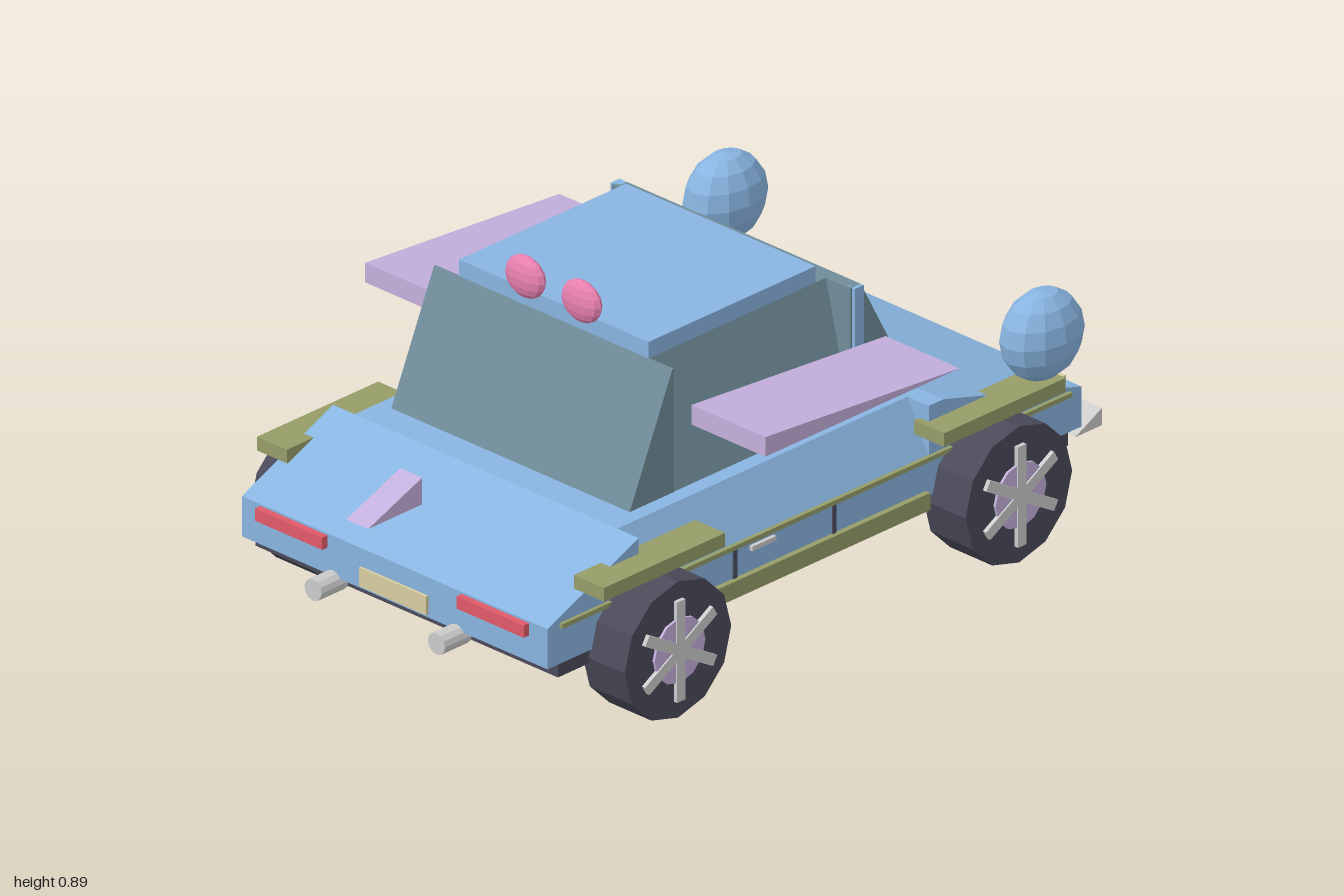
import * as THREE from 'three';

const material = (color) => new THREE.MeshStandardMaterial({ color, flatShading: true });
const BLUE = material(0x88b4e0), GLASS = material(0x708c99), OLIVE = material(0x959d68);
const DARK = material(0x4a4a5a), PURPLE = material(0xc4afdc), PINK = material(0xe880b0);
const RED = material(0xe05a68), CREAM = material(0xd8cda0), GREY = material(0xcccccc);

export function createModel() {
  const car = new THREE.Group();
  car.name = 'car';

  const add = (name, geometry, mat, parent = car) => {
    const mesh = new THREE.Mesh(geometry, mat);
    mesh.name = name;
    parent.add(mesh);
    return mesh;
  };
  // Box given by its limits on each axis
  const box = (name, mat, [x0, x1], [y0, y1], [z0, z1]) => {
    const g = new THREE.BoxGeometry(x1 - x0, y1 - y0, z1 - z0);
    g.translate((x0 + x1) / 2, (y0 + y1) / 2, (z0 + z1) / 2);
    return add(name, g, mat);
  };
  const extrude = (points, depth) => new THREE.ExtrudeGeometry(
    new THREE.Shape(points.map(([a, b]) => new THREE.Vector2(a, b))),
    { depth, bevelEnabled: false });
  // Side profile of (z, y) points, swept across x
  const sideProfile = (name, mat, [x0, x1], points) => {
    const g = extrude(points, x1 - x0);
    g.rotateY(-Math.PI / 2).translate(x1, 0, 0);
    return add(name, g, mat);
  };
  // Front profile of (x, y) points, swept along z
  const frontProfile = (name, mat, [z0, z1], points) =>
    add(name, extrude(points, z1 - z0).translate(0, 0, z0), mat);
  // Range mirrored to the given side
  const span = (s, a, b) => (s > 0 ? [a, b] : [-b, -a]);

  // Body: two sloping ends and a middle with tapered shoulders
  sideProfile('sunkenEnd', BLUE, [-0.5, 0.5],
    [[-0.91, 0.2], [-0.4, 0.2], [-0.4, 0.435], [-0.45, 0.435], [-0.91, 0.305]]).name = 'bodyBack';
  sideProfile('bodyFront', BLUE, [-0.5, 0.5],
    [[0.57, 0.2], [0.875, 0.2], [0.875, 0.305], [0.57, 0.435]]);
  frontProfile('bodyMiddle', BLUE, [-0.4, 0.57],
    [[-0.5, 0.2], [0.5, 0.2], [0.5, 0.305], [0.43, 0.435], [-0.43, 0.435], [-0.5, 0.305]]);
  box('underbody', DARK, [-0.495, 0.495], [0.163, 0.2], [-0.87, 0.835]);

  // Cabin: sloping screens, inset side glass and raised roof
  sideProfile('frontScreen', GLASS, [-0.39, 0.39],
    [[0.34, 0.43], [0.49, 0.43], [0.345, 0.757], [0.34, 0.757]]);
  sideProfile('backScreen', GLASS, [-0.39, 0.39],
    [[-0.46, 0.43], [-0.25, 0.43], [-0.25, 0.757], [-0.285, 0.757]]);
  frontProfile('sideGlass', GLASS, [-0.25, 0.34],
    [[-0.39, 0.43], [0.39, 0.43], [0.31, 0.757], [-0.31, 0.757]]);
  box('roof', BLUE, [-0.31, 0.31], [0.755, 0.8], [-0.215, 0.343]);

  // End fittings
  box('plate', CREAM, [-0.11, 0.11], [0.208, 0.257], [0.87, 0.882]);
  box('grille', DARK, [-0.135, 0.135], [0.215, 0.28], [-0.94, -0.9]);
  sideProfile('bumperLip', GREY, [-0.48, 0.48], [[-0.91, 0.165], [-1, 0.21], [-1, 0.165]]);
  sideProfile('centreFin', PURPLE, [-0.036, 0.036], [[0.82, 0.45], [1, 0.45], [0.82, 0.52]]);

  for (const s of [1, -1]) {
    // Lights and exhausts
    box('redLight', RED, span(s, 0.22, 0.44), [0.268, 0.3], [0.87, 0.893]);
    box('paleLight', CREAM, span(s, 0.23, 0.43), [0.262, 0.303], [-0.93, -0.9]);
    const pipe = add('exhaust', new THREE.CylinderGeometry(0.028, 0.028, 0.09, 12), GREY);
    pipe.rotation.x = Math.PI / 2;
    pipe.position.set(s * 0.202, 0.187, 0.897);

    // Side wings, mirrors and door pillars
    sideProfile('wing', PURPLE, span(s, 0.413, 0.655), [[-0.345, 0.607], [0.305, 0.607], [0.305, 0.658]]);
    sideProfile('mirror', GREY, span(s, 0.36, 0.465), [[-0.17, 0.472], [-0.17, 0.515], [-0.25, 0.472]]);
    box('pillar', BLUE, span(s, 0.375, 0.4), [0.42, 0.757], [-0.285, -0.255]);

    // Side trim
    box('trimStrip', OLIVE, span(s, 0.49, 0.51), [0.295, 0.307], [-0.87, 0.835]);
    box('sill', OLIVE, span(s, 0.48, 0.515), [0.172, 0.217], [-0.39, 0.355]);
    box('doorHandle', GREY, span(s, 0.49, 0.51), [0.272, 0.284], [0.12, 0.2]);
    for (const z of [0.25, -0.082])
      box('doorGap', DARK, span(s, 0.49, 0.504), [0.217, 0.295], [z - 0.006, z + 0.006]);

    // Round pods on the body and lamps on the roof
    const pod = add('pod', new THREE.SphereGeometry(1, 12, 8), BLUE);
    pod.scale.set(0.081, 0.115, 0.118);
    pod.position.set(s * 0.518, 0.503, -0.76);
    const lamp = add('roofLamp', new THREE.SphereGeometry(1, 12, 8), PINK);
    lamp.scale.set(0.063, 0.054, 0.026);
    lamp.position.set(s * 0.092, 0.832, 0.343);

    for (const z of [0.555, -0.585]) {
      // Fender slab above each wheel
      box('fender', OLIVE, span(s, 0.47, 0.568), [0.358, 0.394],
        z > 0 ? [0.35, 0.755] : [-0.788, -0.382]);

      // Wheel with hub and six spokes
      const wheel = new THREE.Group();
      wheel.name = 'wheel';
      wheel.position.set(s * 0.545, 0.178, z);
      car.add(wheel);
      const disc = (name, r, width, mat, x) => {
        const g = new THREE.CylinderGeometry(r, r, width, 12);
        g.rotateZ(Math.PI / 2).translate(s * x, 0, 0);
        add(name, g, mat, wheel);
      };
      disc('tyre', 0.178, 0.138, DARK, 0);
      disc('hub', 0.085, 0.014, PURPLE, 0.069);
      for (let i = 0; i < 3; i++) {
        const spoke = add('spokePair', new THREE.BoxGeometry(0.012, 0.262, 0.028), GREY, wheel);
        spoke.position.x = s * 0.074;
        spoke.rotation.x = (i * Math.PI) / 3;
      }
    }
  }
  return car;
}
